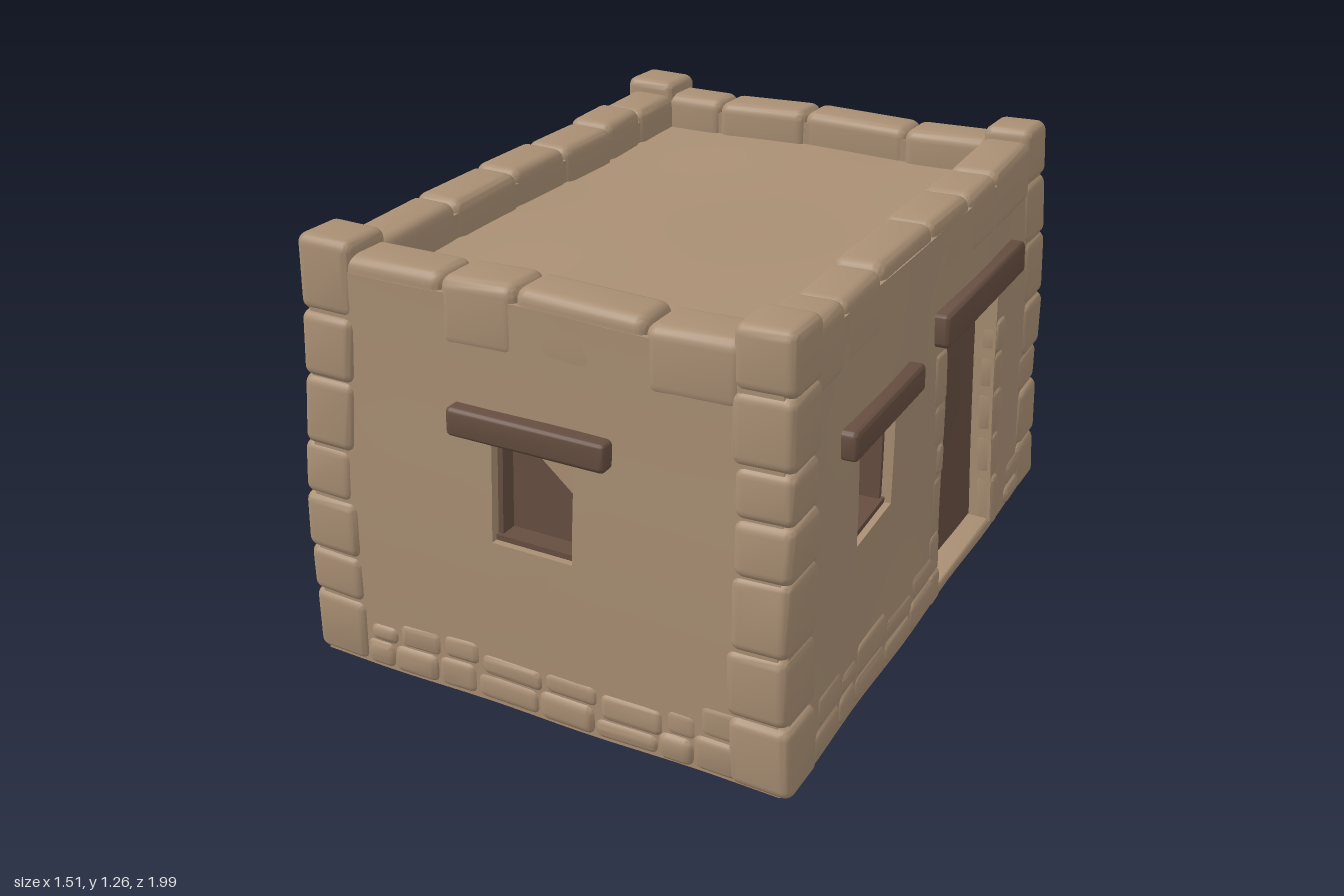
import * as THREE from 'three';
import { toCreasedNormals } from 'three/addons/utils/BufferGeometryUtils.js';
import { RoundedBoxGeometry } from 'three/addons/geometries/RoundedBoxGeometry.js';

const adobe = new THREE.MeshStandardMaterial({ color: 0xa98f74 });
adobe.name = 'adobe plaster';
const wood = new THREE.MeshStandardMaterial({ color: 0x664e40 });
wood.name = 'dark wood';

const HX = 0.735, HZ = 0.98, THICK = 0.15, WALL_TOP = 1.17;

// Tapers the house upwards and gives everything a hand-made waviness
function warp(geo) {
  const p = geo.attributes.position;
  for (let i = 0; i < p.count; i++) {
    const x = p.getX(i), y = p.getY(i), z = p.getZ(i);
    const t = 1 - 0.038 * y;
    const wave = Math.sin(9 * z + 5 * y) + Math.sin(8 * x - 7 * y + 1);
    p.setXYZ(i,
      x * t + 0.003 * wave,
      y + 0.004 * Math.min(1, y * 4) * (Math.sin(7 * x + 2) + Math.sin(6 * z)),
      z * t + 0.003 * (Math.sin(10 * x + 4 * y) + Math.sin(6 * y + 5 * z)));
  }
  return geo;
}

export function createModel() {
  const house = new THREE.Group();
  house.name = 'adobeHouse';
  let seed = 11;
  const rand = (a, b) => {
    seed = (seed * 16807) % 2147483647;
    return a + (b - a) * seed / 2147483647;
  };

  function add(name, geo, material, matrix, parent = house) {
    if (matrix) geo.applyMatrix4(matrix);
    const mesh = new THREE.Mesh(toCreasedNormals(warp(geo), 0.7), material);
    mesh.name = name;
    parent.add(mesh);
  }
  // Box given by its extents
  const box = (x0, x1, y0, y1, z0, z1) =>
    new THREE.BoxGeometry(x1 - x0, y1 - y0, z1 - z0, 4, 4, 1)
      .translate((x0 + x1) / 2, (y0 + y1) / 2, (z0 + z1) / 2);
  const stone = (x0, x1, y0, y1, z0, z1, r = 0.035) =>
    new RoundedBoxGeometry(x1 - x0, y1 - y0, z1 - z0, 3, r)
      .translate((x0 + x1) / 2, (y0 + y1) / 2, (z0 + z1) / 2);

  // Grid lines that pass through every opening edge
  function lines(a, b, cuts) {
    const stops = [...new Set([a, ...cuts, b])].sort((m, n) => m - n), out = [a];
    for (let i = 1; i < stops.length; i++) {
      const len = stops[i] - stops[i - 1], n = Math.ceil(len / 0.11);
      for (let k = 1; k <= n; k++) out.push(stops[i - 1] + len * k / n);
    }
    return out;
  }

  // Solid wall with openings; outer face at local z = 0
  function wallGeometry(half, openings) {
    const us = lines(-half, half, openings.flatMap(o => [o.u0, o.u1]));
    const vs = lines(0, WALL_TOP, openings.flatMap(o => [o.v0, o.v1]));
    const solid = (i, j) => {
      if (i < 0 || j < 0 || i >= us.length - 1 || j >= vs.length - 1) return false;
      const u = (us[i] + us[i + 1]) / 2, v = (vs[j] + vs[j + 1]) / 2;
      return !openings.some(o => u > o.u0 && u < o.u1 && v > o.v0 && v < o.v1);
    };
    const pos = [];
    const quad = (a, b, c, d) => pos.push(...a, ...b, ...c, ...a, ...c, ...d);
    for (let i = 0; i < us.length - 1; i++) for (let j = 0; j < vs.length - 1; j++) {
      if (!solid(i, j)) continue;
      const [a, b, c, d] = [us[i], us[i + 1], vs[j], vs[j + 1]], w = -THICK;
      quad([a, c, 0], [b, c, 0], [b, d, 0], [a, d, 0]);
      quad([b, c, w], [a, c, w], [a, d, w], [b, d, w]);
      if (!solid(i - 1, j)) quad([a, c, w], [a, c, 0], [a, d, 0], [a, d, w]);
      if (!solid(i + 1, j)) quad([b, c, 0], [b, c, w], [b, d, w], [b, d, 0]);
      if (!solid(i, j - 1)) quad([a, c, w], [b, c, w], [b, c, 0], [a, c, 0]);
      if (!solid(i, j + 1)) quad([a, d, 0], [b, d, 0], [b, d, w], [a, d, w]);
    }
    const geo = new THREE.BufferGeometry();
    geo.setAttribute('position', new THREE.Float32BufferAttribute(pos, 3));
    return geo;
  }

  const win = (c, open) => ({ u0: c - 0.125, u1: c + 0.125, v0: 0.5, v1: 0.79, open });
  const door = { u0: 0.09, u1: 0.56, v0: 0.02, v1: 0.85, door: true };
  const walls = [
    { name: 'frontWall', angle: 0, half: HX, out: HZ, openings: [win(0)] },
    { name: 'backWall', angle: Math.PI, half: HX, out: HZ, openings: [win(0)] },
    { name: 'leftWall', angle: Math.PI / 2, half: HZ, out: HX, openings: [win(-0.435, true), door] },
    { name: 'rightWall', angle: -Math.PI / 2, half: HZ, out: HX, openings: [win(0.435, true), win(-0.45)] },
  ];

  for (const w of walls) {
    const group = new THREE.Group();
    group.name = w.name;
    house.add(group);
    const m = new THREE.Matrix4().makeRotationY(w.angle)
      .multiply(new THREE.Matrix4().makeTranslation(0, 0, w.out));
    const put = (name, geo, mat) => add(name, geo, mat, m, group);
    put('plaster', wallGeometry(w.half - 0.02, w.openings), adobe);

    for (const o of w.openings) {
      const { u0, u1, v0, v1 } = o;
      if (o.door) {
        // Recessed door with header, threshold, ring handle and side stones
        put('door', box(u0 - 0.02, u1 + 0.02, v0, v1 + 0.02, -0.17, -0.07), wood);
        put('doorHeader', box(u0, u1, 0.77, v1, -0.08, -0.05), wood);
        put('threshold', stone(u0, u1, 0, 0.03, -0.12, 0, 0.01), adobe);
        put('doorHandle', new THREE.TorusGeometry(0.032, 0.009, 6, 6).translate(0.21, 0.4, -0.06), wood);
        put('doorKnob', new THREE.SphereGeometry(0.018, 6, 5).translate(0.21, 0.4, -0.062), wood);
        put('doorLintel', stone(-0.01, 0.69, 0.845, 0.945, -0.1, 0.045, 0.015), wood);
        for (const [e, s] of [[u0, -1], [u1, 1]])
          for (let y = 0; y < 0.7;) {
            const h = rand(0.1, 0.2), len = rand(0.05, 0.09);
            put('doorStone', stone(Math.min(e, e + s * len), Math.max(e, e + s * len),
              y, y + h, -0.06, rand(0.004, 0.012), 0.02), adobe);
            y += h;
          }
        continue;
      }
      const c = (u0 + u1) / 2, f = 0.016;
      put('windowLintel', stone(c - 0.24, c + 0.24, 0.8, 0.88, -0.08, 0.045, 0.015), wood);
      // Thin wooden lining
      put('windowSide', box(u0, u0 + f, v0, v1, -0.16, -0.03), wood);
      put('windowSide', box(u1 - f, u1, v0, v1, -0.16, -0.03), wood);
      put('windowSill', box(u0, u1, v0, v0 + f, -0.16, -0.02), wood);
      put('windowHead', box(u0, u1, v1 - f, v1, -0.16, -0.03), wood);
      if (!o.open)
        put('windowShutter', box(u0 - 0.05, u1 + 0.05, v0 - 0.04, v1 + 0.04, -0.16, -0.08), wood);
    }

    // Rough stones along the foot of the wall
    for (let u = -w.half + 0.16; u < w.half - 0.18;) {
      const len = rand(0.1, 0.22);
      const end = Math.min(u + len, w.half - 0.14);
      const clear = !w.openings.some(o => o.door && end > o.u0 && u < o.u1);
      if (clear) {
        const h = rand(0.07, 0.12);
        put('footStone', stone(u, end + 0.01, 0, h, -0.09, rand(0.007, 0.016), 0.03), adobe);
        put('footStone', stone(u + 0.02, end + 0.02, h - 0.01, h + rand(0.05, 0.1), -0.09, rand(0.004, 0.01), 0.025), adobe);
      }
      u = end;
    }

    // Rounded parapet blocks
    for (let u = -w.half + 0.13; u < w.half - 0.15;) {
      let end = u + rand(0.2, 0.38);
      if (end > w.half - 0.28) end = w.half - 0.13;
      put('parapetBlock', stone(u - 0.004, end + 0.004, 1.02, 1.212 + rand(-0.008, 0.006),
        -THICK - rand(0, 0.015), rand(-0.004, 0.006), 0.035), adobe);
      u = end;
    }
  }

  // Lump of plaster in the upper corner of the front window
  const lump = new THREE.Shape([[0, 0.79], [0.13, 0.69], [0.13, 0.79]].map(p => new THREE.Vector2(...p)));
  add('windowPlasterLump', new THREE.ExtrudeGeometry(lump, { depth: 0.07, bevelEnabled: false })
    .translate(0, 0, HZ - 0.08), adobe);

  // Stacked corner stones
  for (const sx of [-1, 1]) for (const sz of [-1, 1]) {
    for (let y = 0; y < 1.25;) {
      let top = y + rand(0.13, 0.21);
      if (top > 1.1) top = 1.25;
      const ox = HX + rand(0.008, 0.018), oz = HZ + rand(0.005, 0.016);
      const wx = rand(0.165, 0.185), wz = rand(0.165, 0.185);
      add('cornerStone', stone(-wx / 2, wx / 2, y, top + 0.006 * (top < 1.25), -wz / 2, wz / 2, 0.03)
        .translate(sx * (ox - wx / 2), 0, sz * (oz - wz / 2)), adobe);
      y = top;
    }
  }

  // Sunken flat roof
  add('roof', new THREE.BoxGeometry(1.3, 0.1, 1.78, 12, 1, 16).translate(0, 1.05, 0), adobe);

  return house;
}
